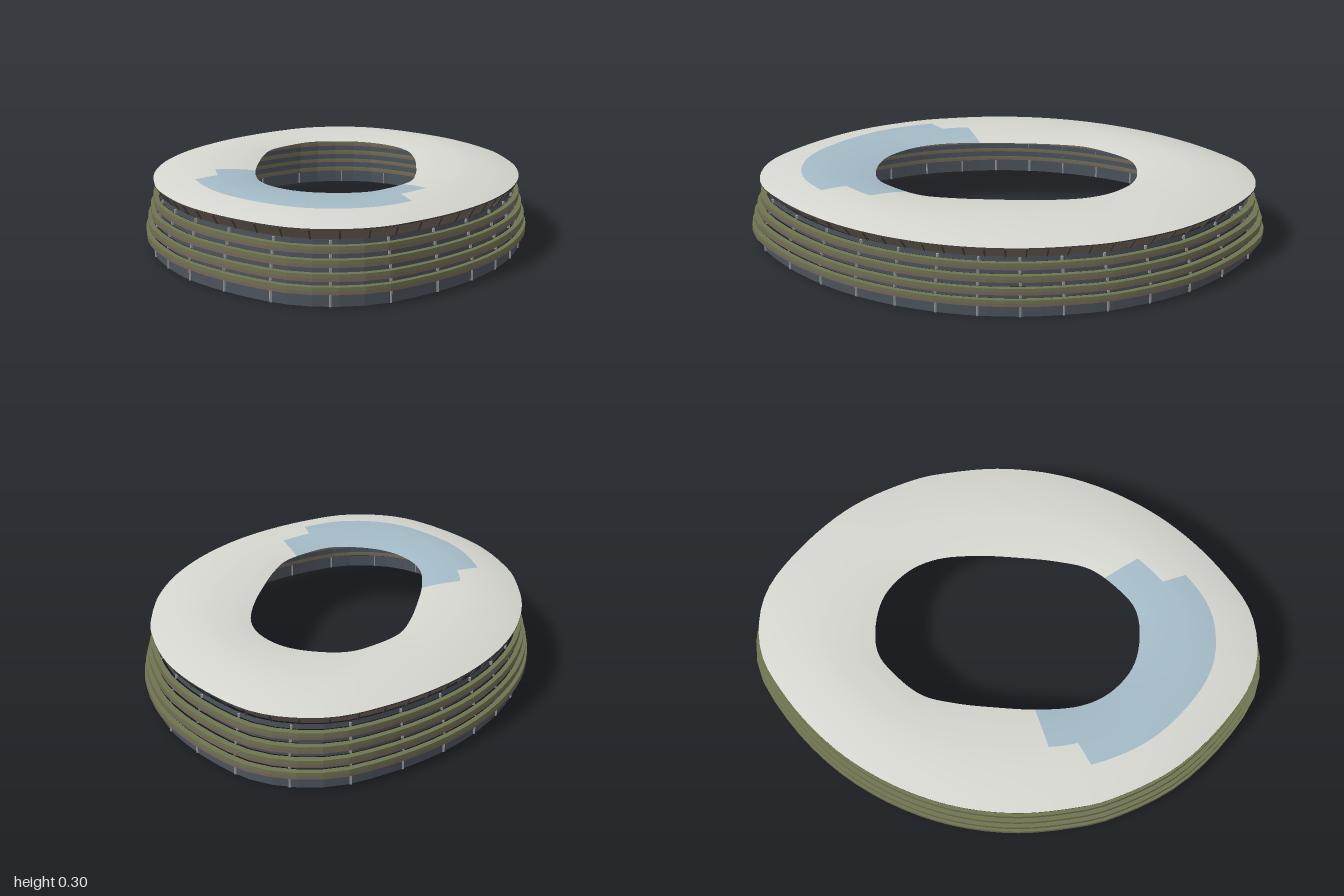
import * as THREE from 'three';

const mat = (name, color, flat = false) => {
  const m = new THREE.MeshStandardMaterial({ color, side: THREE.DoubleSide, flatShading: flat });
  m.name = name;
  return m;
};

// Plan outline with half-turn symmetry: half the points are given, as [x, z].
// Returns the radius as a function of the plan angle.
function polarOutline(half) {
  const pts = [...half, ...half.map(([x, z]) => [-x, -z])].map(([x, z]) => new THREE.Vector3(x, 0, z));
  const curve = new THREE.CatmullRomCurve3(pts, true, 'centripetal');
  const samples = curve.getPoints(800).slice(0, -1)
    .map(p => ({ a: (Math.atan2(p.z, p.x) + 2 * Math.PI) % (2 * Math.PI), r: Math.hypot(p.x, p.z) }))
    .sort((p, q) => p.a - q.a);
  return angle => {
    const a = ((angle % (2 * Math.PI)) + 2 * Math.PI) % (2 * Math.PI);
    let k = samples.findIndex(s => s.a >= a);
    if (k < 0) k = 0;
    const hi = samples[k], lo = samples[(k + samples.length - 1) % samples.length];
    const span = hi.a - lo.a;
    return span > 0 ? lo.r + (hi.r - lo.r) * (a - lo.a) / span : hi.r;
  };
}

const outer = polarOutline([
  [0.21, -0.992], [0.36, -0.97], [0.5, -0.895], [0.64, -0.715], [0.76, -0.45], [0.798, -0.15],
  [0.785, -0.02], [0.735, 0.2], [0.635, 0.42], [0.495, 0.61], [0.32, 0.77], [0.14, 0.88], [-0.04, 0.953],
]);
const inner = polarOutline([
  [0.07, -0.515], [0.19, -0.49], [0.3, -0.42], [0.37, -0.3], [0.385, -0.18],
  [0.35, -0.02], [0.28, 0.16], [0.22, 0.29], [0.15, 0.4], [0.04, 0.475],
]);

// Sweeps rows of a profile round the plan; radius(row, angle) and height(row) place them.
// pick(row, degrees) chooses the material index of each cell.
function sweep(rows, segments, radius, height, pick = () => 0) {
  const pos = [], cells = [[], []];
  for (let i = 0; i < segments; i++) {
    const a = i / segments * Math.PI * 2;
    for (let j = 0; j < rows; j++) {
      const r = radius(j, a);
      pos.push(r * Math.cos(a), height(j), r * Math.sin(a));
    }
  }
  for (let i = 0; i < segments; i++) {
    for (let j = 0; j < rows - 1; j++) {
      const p = i * rows + j, q = ((i + 1) % segments) * rows + j;
      cells[pick(j, (i + 0.5) / segments * 360)].push(p, p + 1, q, q, p + 1, q + 1);
    }
  }
  const g = new THREE.BufferGeometry();
  g.setAttribute('position', new THREE.Float32BufferAttribute(pos, 3));
  g.setIndex([...cells[0], ...cells[1]]);
  g.addGroup(0, cells[0].length, 0);
  g.addGroup(cells[0].length, cells[1].length, 1);
  g.computeVertexNormals();
  return g;
}

export function createModel() {
  const model = new THREE.Group();
  model.name = 'stadium';
  const roofWhite = mat('roofWhite', 0xd6d6d0);
  const roofBlue = mat('roofBlue', 0xa3bac6);
  const olive = mat('finOlive', 0x6f7450, true);
  const brown = mat('finBrown', 0x75675a, true);
  const slate = mat('wallSlate', 0x4c535c, true);
  const pale = mat('postGrey', 0x9a9c9a);
  const dark = mat('strutDark', 0x45423e);

  const add = (name, geometry, material, parent = model) => {
    const mesh = new THREE.Mesh(geometry, material);
    mesh.name = name;
    parent.add(mesh);
    return mesh;
  };
  // Ring following the outer outline; profile holds [scale, y] pairs.
  const ring = (name, profile, material, parent) => add(name,
    sweep(profile.length, 72, (j, a) => outer(a) * profile[j][0], j => profile[j][1]), material, parent);
  // Thin bars standing round the outline between two [scale, y] points.
  const bars = (name, count, [s0, y0], [s1, y1], width, material) => {
    const group = new THREE.Group();
    group.name = name;
    model.add(group);
    for (let i = 0; i < count; i++) {
      const a = (i + 0.3) / count * Math.PI * 2, r = outer(a);
      const from = new THREE.Vector3(r * s0 * Math.cos(a), y0, r * s0 * Math.sin(a));
      const to = new THREE.Vector3(r * s1 * Math.cos(a), y1, r * s1 * Math.sin(a));
      const bar = add('bar', new THREE.BoxGeometry(width, from.distanceTo(to), width), material, group);
      bar.position.copy(from).add(to).multiplyScalar(0.5);
      bar.quaternion.setFromUnitVectors(new THREE.Vector3(0, 1, 0), to.sub(from).normalize());
    }
  };

  // Ground floor wall with pale joints
  ring('baseWall', [[0.975, 0], [0.975, 0.052]], slate);
  bars('baseJoints', 30, [0.976, 0], [0.976, 0.05], 0.007, pale);

  // Four stepped fins, each olive above and brown below, with a recessed strip over it
  const fins = [[1.005, 0.05], [0.995, 0.092], [0.98, 0.136], [0.964, 0.18]];
  fins.forEach(([s, y], i) => {
    const fin = new THREE.Group();
    fin.name = 'facadeFin' + (i + 1);
    model.add(fin);
    const back = s - 0.024, mid = y + 0.012, top = y + 0.026;
    ring('finUpper', [[s, mid], [s, top], [back, top], [back, mid]], olive, fin);
    ring('finLower', [[back, mid], [back, y], [s, y], [s, mid]], brown, fin);
    const next = i < 3 ? fins[i + 1][1] + 0.003 : 0.222, wall = s - 0.036;
    ring('recessedWall' + (i + 1), [[wall, top - 0.004], [wall, next]], slate);
    bars('wallPosts' + (i + 1), 30, [wall + 0.006, top], [wall + 0.006, next - 0.003], 0.008, pale);
  });

  // Flared skirt under the roof edge, with slanted struts
  ring('roofSkirt', [[0.905, 0.213], [0.958, 0.262]], brown);
  bars('roofStruts', 60, [0.917, 0.212], [0.958, 0.26], 0.006, dark);

  // Roof shell, arched between its outer edge and the central opening
  const roof = [[1, 0.265], [0.92, 0.274], [0.8, 0.285], [0.64, 0.295], [0.5, 0.299],
    [0.4, 0.3], [0.2, 0.295], [0.1, 0.29], [0, 0.283]];
  const roofRadius = (j, a) => THREE.MathUtils.lerp(inner(a), outer(a) * 0.962, roof[j][0]);
  const isBlue = (j, deg) => {
    const reach = deg > 90 && deg < 168 ? 0.64 : deg > 78 && deg < 180 ? 0.4 : 0;
    return roof[j][0] <= reach ? 1 : 0;
  };
  add('roof', sweep(roof.length, 120, roofRadius, j => roof[j][1], isBlue), [roofWhite, roofBlue]);

  // Thin dark lip round the roof edge
  ring('roofEdge', [[0.962, 0.26], [0.962, 0.265]], dark);
  return model;
}
